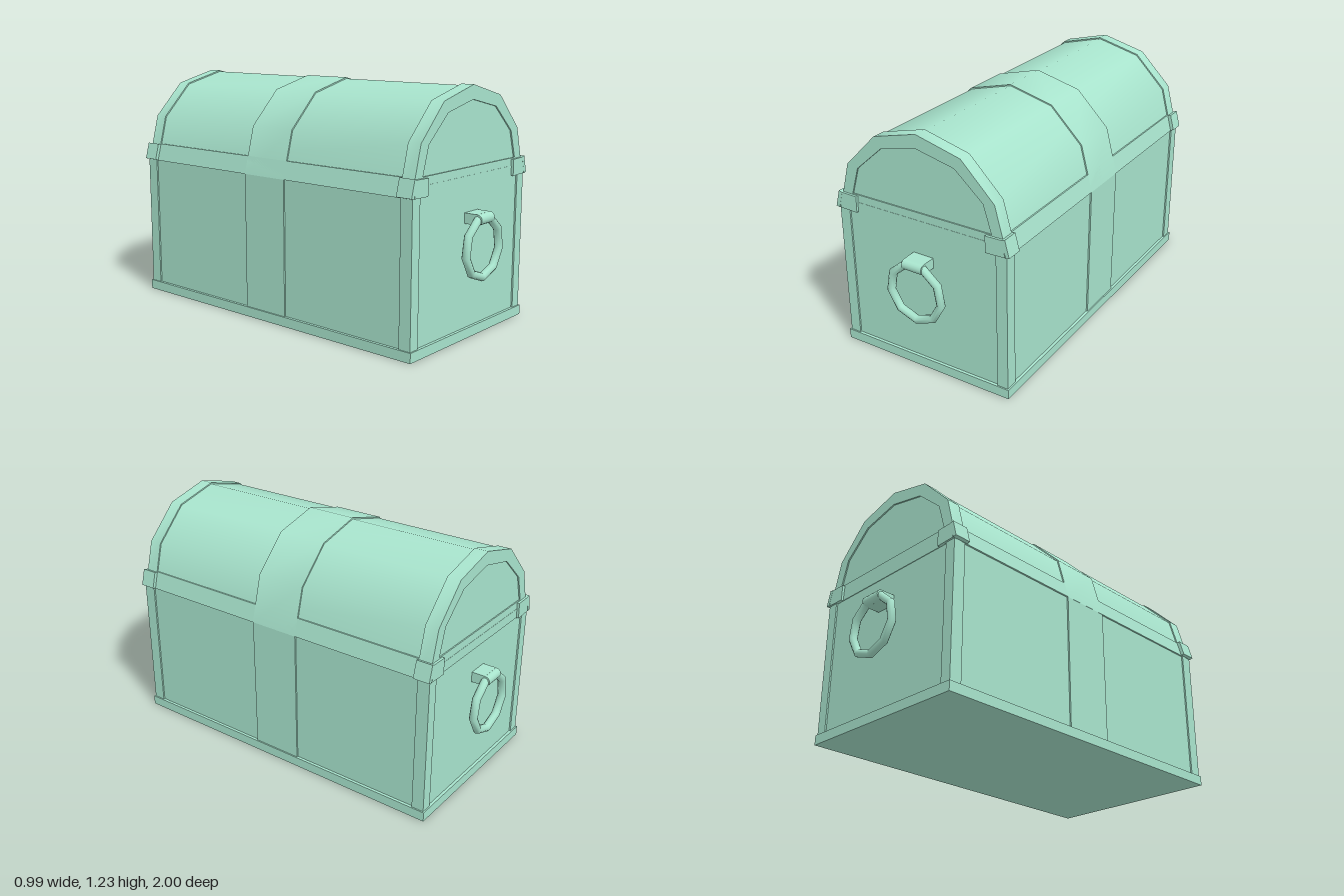
import * as THREE from 'three';
import { toCreasedNormals } from 'three/addons/utils/BufferGeometryUtils.js';

export function createModel() {
  const group = new THREE.Group();
  const mat = new THREE.MeshStandardMaterial({ color: 0xa8e4cd });

  const add = (name, geo, parent = group) => {
    const mesh = new THREE.Mesh(geo, mat);
    mesh.name = name;
    parent.add(mesh);
    return mesh;
  };
  // Box given by its limits on each axis
  const box = (name, x0, x1, y0, y1, z0, z1, parent) => {
    const mesh = add(name, new THREE.BoxGeometry(x1 - x0, y1 - y0, z1 - z0), parent);
    mesh.position.set((x0 + x1) / 2, (y0 + y1) / 2, (z0 + z1) / 2);
    return mesh;
  };
  // Profile in x and y, extruded from z0 to z1
  const extrude = (name, shape, z0, z1) => {
    const geo = new THREE.ExtrudeGeometry(shape, { depth: z1 - z0, bevelEnabled: false });
    geo.translate(0, 0, z0);
    return add(name, toCreasedNormals(geo, 0.8));
  };
  // Arched lid outline, shrunk by an inset
  const half = [[0.477, 0.75], [0.413, 0.99], [0.24, 1.165]];
  const archPoints = (inset, base = 0.75) => {
    const k = 1 - inset / 0.477;
    const right = half.map(([x, y]) => [x * k, base + (y - 0.75) * (1.227 - inset - base) / 0.477]);
    const left = right.map(([x, y]) => [-x, y]).reverse();
    return [...right, [0, 1.227 - inset], ...left].map(([x, y]) => new THREE.Vector2(x, y));
  };
  const arch = inset => new THREE.Shape(archPoints(inset));

  // Body with raised corner posts, side straps and base trim
  box('body', -0.468, 0.468, 0.01, 0.75, -0.902, 0.902);
  box('baseTrim', -0.483, 0.483, 0, 0.05, -0.917, 0.917);
  for (const sx of [-1, 1]) {
    const span = (a, b) => sx > 0 ? [a, b] : [-b, -a];
    for (const sz of [-1, 1]) {
      const z = sz > 0 ? [0.845, 0.91] : [-0.91, -0.845];
      box('cornerPost', ...span(0.418, 0.476), 0.04, 0.75, ...z);
    }
    box('sideStrap', ...span(0.45, 0.476), 0.04, 0.75, -0.14, 0.13);
  }

  // Lid: recessed panel, centre band, end frames and lower rim
  extrude('lid', arch(0.007), -0.898, 0.898);
  extrude('lidBand', arch(0), -0.14, 0.13);
  for (const [z0, z1] of [[0.835, 0.905], [-0.905, -0.835]]) {
    const frame = arch(0);
    frame.holes.push(new THREE.Path(archPoints(0.07, 0.8).reverse()));
    extrude('lidEndFrame', frame, z0, z1);
  }
  const rim = new THREE.Shape([[0.477, 0.75], [0.453, 0.84], [-0.453, 0.84], [-0.477, 0.75]]
    .map(([x, y]) => new THREE.Vector2(x, y)));
  extrude('lidRim', rim, -0.904, 0.904);

  // Corner brackets on the lid, one plate on each face
  for (const sx of [-1, 1]) {
    for (const sz of [-1, 1]) {
      const bracket = new THREE.Group();
      bracket.name = 'cornerBracket';
      group.add(bracket);
      const side = add('bracketSide', new THREE.BoxGeometry(0.02, 0.088, 0.085), bracket);
      side.position.set(sx * 0.473, 0.796, sz * 0.875);
      side.rotation.z = sx * 0.262;
      const end = add('bracketEnd', new THREE.BoxGeometry(0.1, 0.084, 0.02), bracket);
      end.position.set(sx * 0.417, 0.793, sz * 0.907);
      end.rotation.z = sx * 0.03;
    }
  }

  // Ring handle hanging from a rounded mount at each end
  for (const sz of [-1, 1]) {
    const handle = new THREE.Group();
    handle.name = 'handle';
    handle.position.x = 0.01;
    group.add(handle);
    const ring = add('handleRing', new THREE.TorusGeometry(0.147, 0.021, 10, 9), handle);
    ring.rotation.z = -Math.PI / 2;
    ring.position.set(0, 0.458, sz * 0.973);
    const z = sz > 0 ? [0.89, 0.973] : [-0.973, -0.89];
    box('handleMount', -0.056, 0.056, 0.572, 0.624, ...z, handle);
    const cap = add('handleMountCap', new THREE.CylinderGeometry(0.026, 0.026, 0.112, 16), handle);
    cap.rotation.z = Math.PI / 2;
    cap.position.set(0, 0.598, sz * 0.974);
  }
  return group;
}
